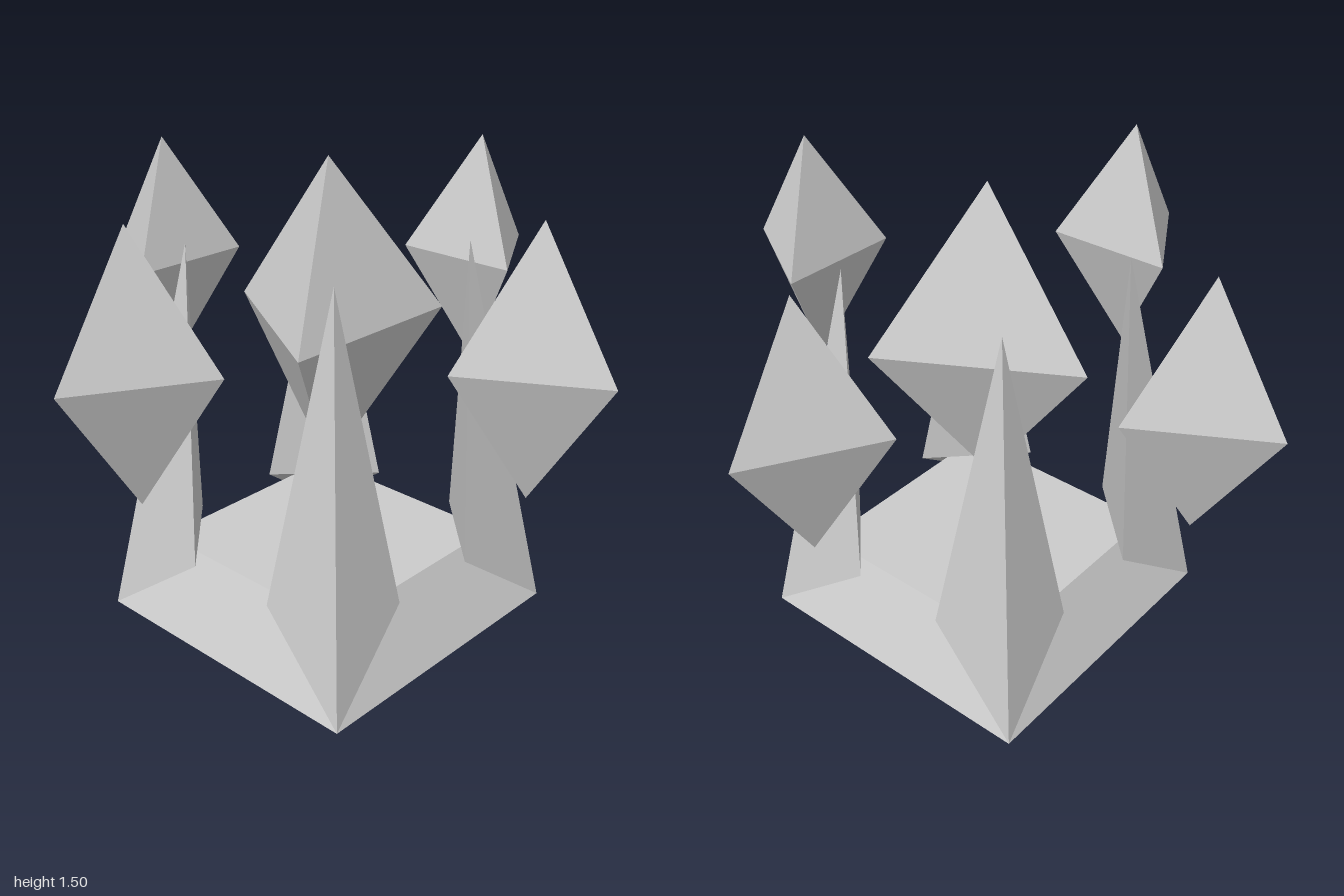
import * as THREE from 'three';
import { ConvexGeometry } from 'three/addons/geometries/ConvexGeometry.js';

const material = new THREE.MeshStandardMaterial({ color: 0xcccccc, flatShading: true });

// Flat-faced solid spanned by a few corner points
function solid(name, corners) {
  const points = corners.map((c) => new THREE.Vector3(...c));
  const mesh = new THREE.Mesh(new ConvexGeometry(points), material);
  mesh.name = name;
  return mesh;
}

// Three-sided double pyramid; one corner points along +z turned by angle
function crystal(name, radius, halfHeight, angle) {
  const corners = [[0, halfHeight, 0], [0, -halfHeight, 0]];
  for (let i = 0; i < 3; i++) {
    const a = angle + (i * Math.PI * 2) / 3;
    corners.push([radius * Math.sin(a), 0, radius * Math.cos(a)]);
  }
  return solid(name, corners);
}

export function createModel() {
  const model = new THREE.Group();
  model.name = 'crystalShrine';

  // Tapered square base
  const baseCorners = [];
  for (const [half, y] of [[0.5, 0], [0.375, 0.25]]) {
    for (const sx of [-1, 1]) for (const sz of [-1, 1]) baseCorners.push([sx * half, y, sz * half]);
  }
  model.add(solid('base', baseCorners));

  // Spikes leaning inward from the four base corners
  for (const sx of [-1, 1]) {
    for (const sz of [-1, 1]) {
      model.add(solid('cornerSpike', [
        [sx * 0.5, 0, sz * 0.5],
        [sx * 0.16, 0.25, sz * 0.44],
        [sx * 0.44, 0.25, sz * 0.16],
        [sx * 0.3, 1.243, sz * 0.3],
      ]));
    }
  }

  // Large floating crystal, one corner to the back
  const centre = crystal('centralCrystal', 0.373, 0.5, Math.PI);
  centre.position.y = 1;
  model.add(centre);

  // Four small crystals around it, each with a corner pointing outward
  for (let i = 0; i < 4; i++) {
    const angle = (i * Math.PI) / 2;
    const small = crystal('outerCrystal', 0.25, 0.397, angle);
    small.position.set(0.75 * Math.sin(angle), 1.052, 0.75 * Math.cos(angle));
    model.add(small);
  }

  return model;
}
